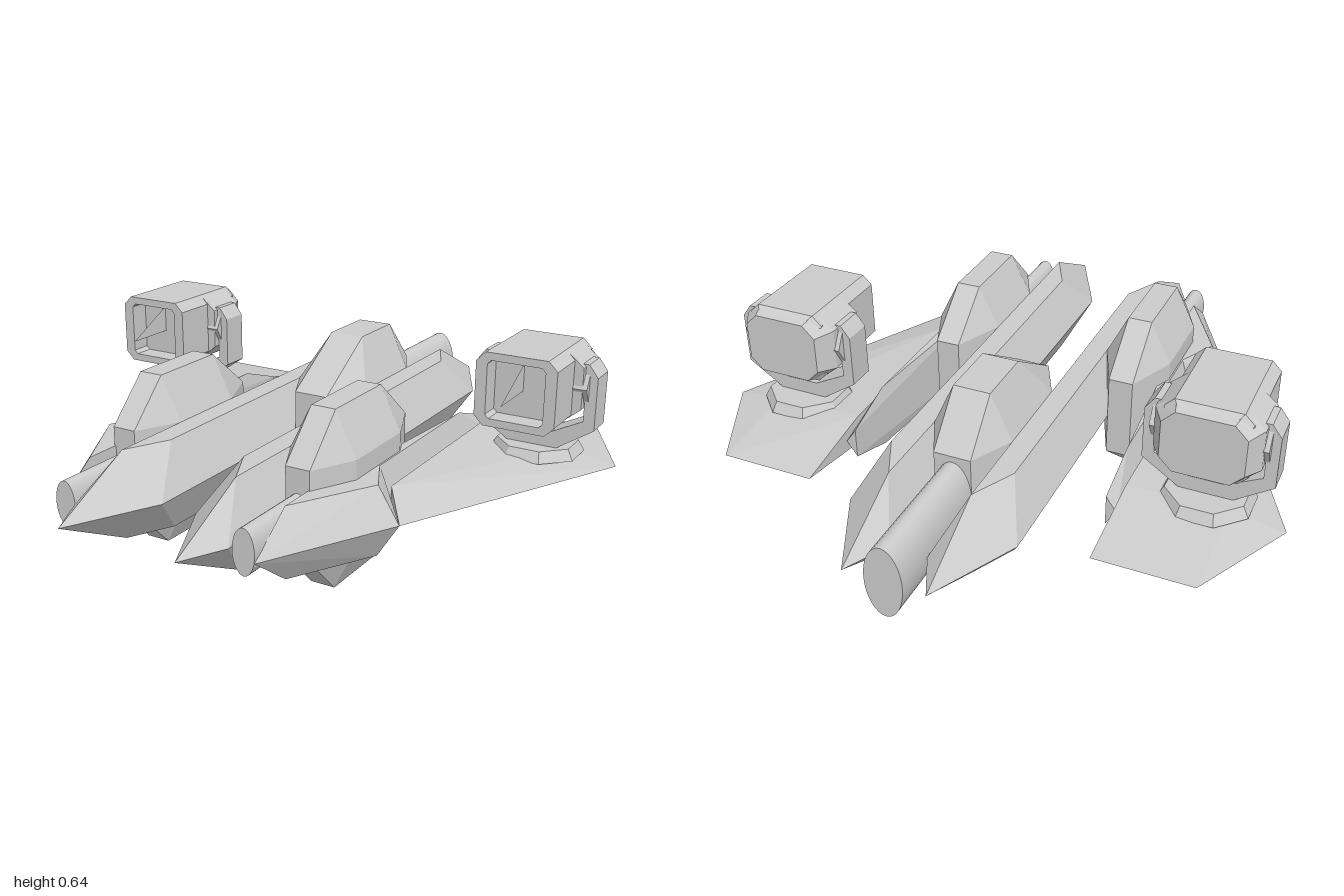
import * as THREE from 'three';
import { ConvexGeometry } from 'three/addons/geometries/ConvexGeometry.js';

const flat = new THREE.MeshStandardMaterial({ color: 0xcccccc, flatShading: true, side: THREE.DoubleSide });
const smooth = new THREE.MeshStandardMaterial({ color: 0xcccccc });

function mesh(name, geometry, material = flat) {
  const m = new THREE.Mesh(geometry, material);
  m.name = name;
  return m;
}

// Faceted solid around corner points, mirrored in x by s
function solid(name, points, s = 1) {
  return mesh(name, new ConvexGeometry(points.map(([x, y, z]) => new THREE.Vector3(x * s, y, z))));
}

// Elliptical tube along z
function ellipseTube(name, x, y, rx, ry, z0, z1) {
  const g = new THREE.CylinderGeometry(1, 1, Math.abs(z1 - z0), 32).rotateX(Math.PI / 2);
  g.scale(rx, ry, 1).translate(x, y, (z0 + z1) / 2);
  return mesh(name, g, smooth);
}

// Extrusion of an xy outline from z0 to z1
function extrude(name, outline, z0, z1, hole) {
  const shape = new THREE.Shape(outline.map(p => new THREE.Vector2(...p)));
  if (hole) shape.holes.push(new THREE.Path(hole.map(p => new THREE.Vector2(...p))));
  const g = new THREE.ExtrudeGeometry(shape, { depth: z1 - z0, bevelEnabled: false });
  return mesh(name, g.translate(0, 0, z0));
}

// Rectangle with cut corners
function cutRect(w, h, cx, cy = cx) {
  return [[w, h - cy], [w - cx, h], [cx - w, h], [-w, h - cy],
    [-w, cy - h], [cx - w, -h], [w - cx, -h], [w, cy - h]];
}

// Swivelling housing held in a U-shaped bracket
function turret() {
  const g = new THREE.Group();
  g.name = 'turret';
  const at = (o, z) => o.map(([x, y]) => [x, y, z]);
  const body = cutRect(0.13, 0.118, 0.03);
  g.add(solid('housing', [...at(body, -0.12), ...at(body, -0.36), ...at(cutRect(0.1, 0.09, 0.03), -0.4)]));
  g.add(extrude('housingRim', body, -0.12, -0.05, cutRect(0.093, 0.093, 0.012)));
  const bulge = cutRect(0.16, 0.117, 0.06, 0.05);
  g.add(solid('sideBulge', [...at(bulge, -0.2), ...at(bulge, -0.34), ...at(cutRect(0.125, 0.1, 0.04), -0.4)]));
  // thin blade standing in the opening
  const blade = new THREE.ShapeGeometry(new THREE.Shape([
    new THREE.Vector2(-0.06, -0.01), new THREE.Vector2(0.12, -0.01), new THREE.Vector2(0.12, 0.08)]));
  g.add(mesh('blade', blade.rotateY(Math.PI / 2)));
  const axle = new THREE.CylinderGeometry(0.075, 0.075, 0.35, 6).rotateZ(Math.PI / 2);
  g.add(mesh('axle', axle.translate(0, 0, -0.27)));
  const half = [[0.08, -0.215], [0.2, -0.135], [0.2, 0.035], [0.17, 0.075], [0.15, 0.075],
    [0.163, 0.035], [0.163, -0.11], [0.055, -0.165]];
  const mirrored = half.map(([x, y]) => [-x, y]).reverse();
  g.add(extrude('bracket', [...half, ...mirrored], -0.315, -0.22));
  const base = new THREE.CylinderGeometry(0.13, 0.15, 0.035, 8).rotateY(Math.PI / 8);
  g.add(mesh('turretBase', base.translate(0, -0.23, -0.28)));
  return g;
}

function side(s) {
  const g = new THREE.Group();
  g.name = s > 0 ? 'leftSide' : 'rightSide';

  // Main hull: hexagonal bar with diagonal points at both ends
  const hull = [[0.2, 0.28, 1], [0.27, 0.28, 0.86], [0.06, 0.28, 0.72],
    [0.13, 0.28, -1], [0.06, 0.28, -0.86], [0.27, 0.28, -0.72]];
  for (const y of [0.14, 0.42]) {
    hull.push([0.2, y, 0.72], [0.13, y, 0.58], [0.13, y, -0.72], [0.2, y, -0.58]);
  }
  g.add(solid('hull', hull, s));

  // Tall faceted gun pod and its barrel
  const pod = [];
  for (const d of [-1, 1]) {
    for (const z of [0, 0.58]) pod.push([0.31 + d * 0.04, 0.14, z], [0.31 + d * 0.04, 0.42, z]);
    for (const z of [0.17, 0.44]) {
      pod.push([0.31 + d * 0.04, 0, z], [0.31 + d * 0.11, 0.14, z],
        [0.31 + d * 0.11, 0.42, z], [0.31 + d * 0.04, 0.56, z]);
    }
  }
  g.add(solid('gunPod', pod, s));
  g.add(ellipseTube('gunBarrel', s * 0.31, 0.275, 0.036, 0.07, 0.5, 0.85));

  // Outer shoulder and the narrow beam running back from it
  const shoulder = [[0.345, 0.25, 0.85], [0.56, 0.25, 0.44], [0.46, 0.25, 0.3], [0.345, 0.25, 0.3]];
  const beam = [[0.46, 0.25, 0.32], [0.46, 0.25, -0.43], [0.425, 0.2, -0.43], [0.425, 0.3, -0.43]];
  for (const y of [0.14, 0.36]) {
    shoulder.push([0.345, y, 0.7], [0.49, y, 0.44], [0.42, y, 0.3], [0.345, y, 0.3]);
    beam.push([0.38, y, 0.32], [0.425, y, 0.32], [0.425, y, -0.25]);
  }
  g.add(solid('shoulder', shoulder, s));
  g.add(solid('beam', beam, s));

  // Knife-edged wing
  const wing = [[0.56, 0.25, 0.44], [0.94, 0.25, -0.32], [0.77, 0.25, -0.65], [0.46, 0.25, -0.65]];
  for (const d of [-1, 1]) {
    wing.push([0.46, 0.25 + d * 0.05, 0.3], [0.46, 0.25 + d * 0.05, -0.35], [0.77, 0.25 + d * 0.03, -0.33]);
  }
  g.add(solid('wing', wing, s));

  const t = turret();
  t.position.set(s * 0.69, 0.525, 0);
  g.add(t);
  return g;
}

export function createModel() {
  const model = new THREE.Group();
  model.name = 'spacecraft';
  model.add(side(1), side(-1));

  // Central cockpit bridging the two hulls
  const cockpit = [];
  for (const x of [-1, 1]) {
    for (const y of [0.14, 0.42]) {
      cockpit.push([x * 0.06, y, 0], [x * 0.13, y, -0.14], [x * 0.13, y, -0.44], [x * 0.06, y, -0.58]);
    }
    cockpit.push([x * 0.06, 0.57, -0.24], [x * 0.06, 0.57, -0.44]);
  }
  model.add(solid('cockpit', cockpit));
  model.add(ellipseTube('engine', 0, 0.28, 0.06, 0.12, -0.55, -1));
  return model;
}
